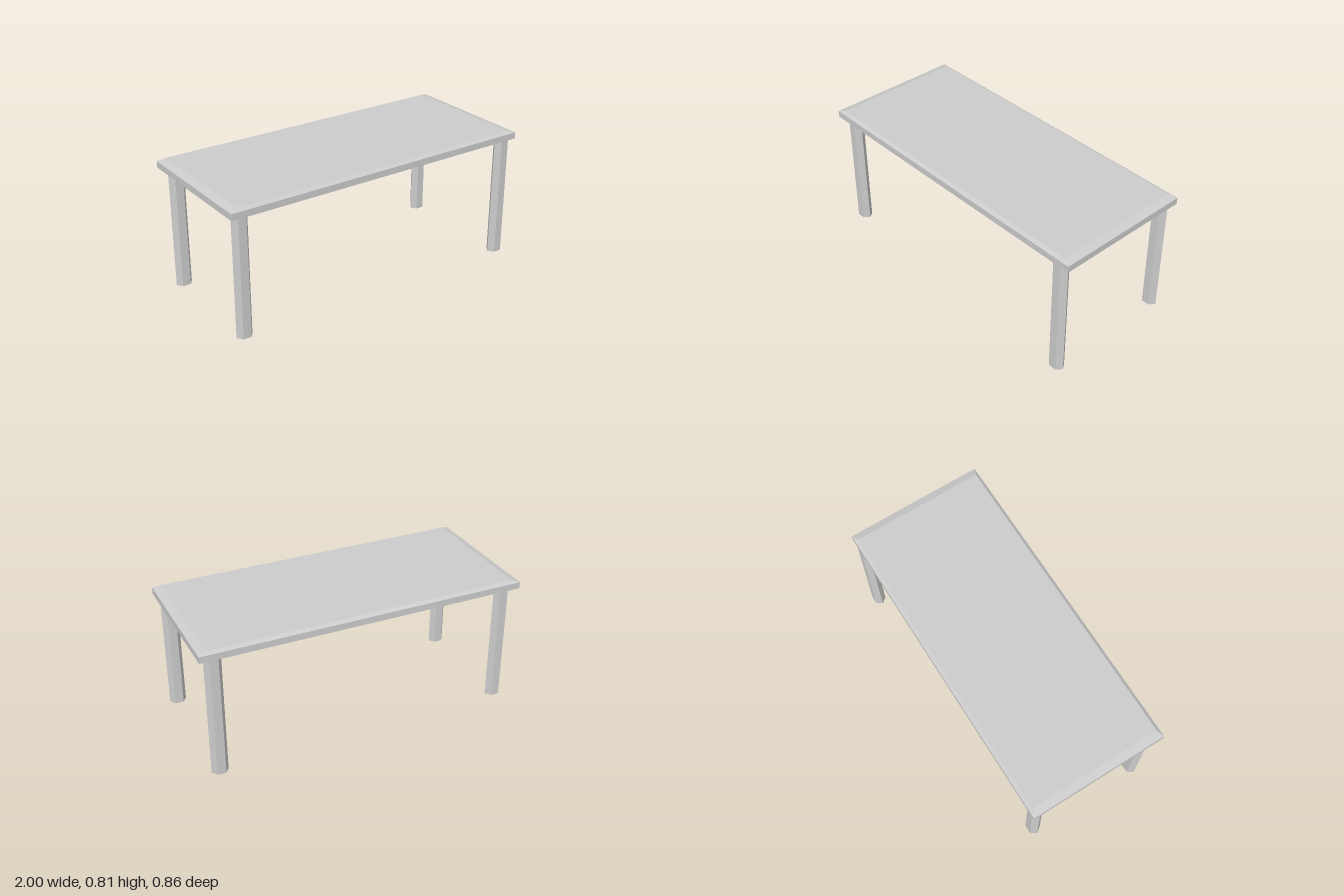
import * as THREE from 'three';

const material = new THREE.MeshStandardMaterial({ color: 0xcccccc, flatShading: true });
const LEG_HEIGHT = 0.757;

// Slab with straight sides and a shallow bevel around its upper edge
function tabletopGeometry() {
  const halfX = 1, halfZ = 0.43, bevelX = 0.048, bevelZ = 0.02;
  const levels = { '-1': LEG_HEIGHT, '0': 0.797, '1': 0.812 };
  const box = new THREE.BoxGeometry(2, 2, 2, 1, 2, 1);
  const p = box.attributes.position;
  for (let i = 0; i < p.count; i++) {
    const level = Math.round(p.getY(i));
    const inset = level === 1 ? 1 : 0;
    p.setXYZ(
      i,
      p.getX(i) * (halfX - inset * bevelX),
      levels[level],
      p.getZ(i) * (halfZ - inset * bevelZ)
    );
  }
  const flat = box.toNonIndexed();
  flat.computeVertexNormals();
  return flat;
}

// Six-sided leg, corners pointing along x, slightly wider in x than in z
function legGeometry() {
  const flat = new THREE.CylinderGeometry(1, 1, LEG_HEIGHT, 6)
    .rotateY(Math.PI / 2)
    .scale(0.051, 1, 0.0408)
    .translate(0, LEG_HEIGHT / 2, 0)
    .toNonIndexed();
  flat.computeVertexNormals();
  return flat;
}

export function createModel() {
  const table = new THREE.Group();
  table.name = 'table';

  const top = new THREE.Mesh(tabletopGeometry(), material);
  top.name = 'tabletop';
  table.add(top);

  // The legs on the left end stand slightly further apart than those on the right
  const geometry = legGeometry();
  for (const [side, x, z] of [['Left', 0.917, 0.394], ['Right', -0.917, 0.36]]) {
    for (const [end, sign] of [['front', 1], ['back', -1]]) {
      const leg = new THREE.Mesh(geometry, material);
      leg.name = `${end}${side}Leg`;
      leg.position.set(x, 0, sign * z);
      table.add(leg);
    }
  }
  return table;
}
